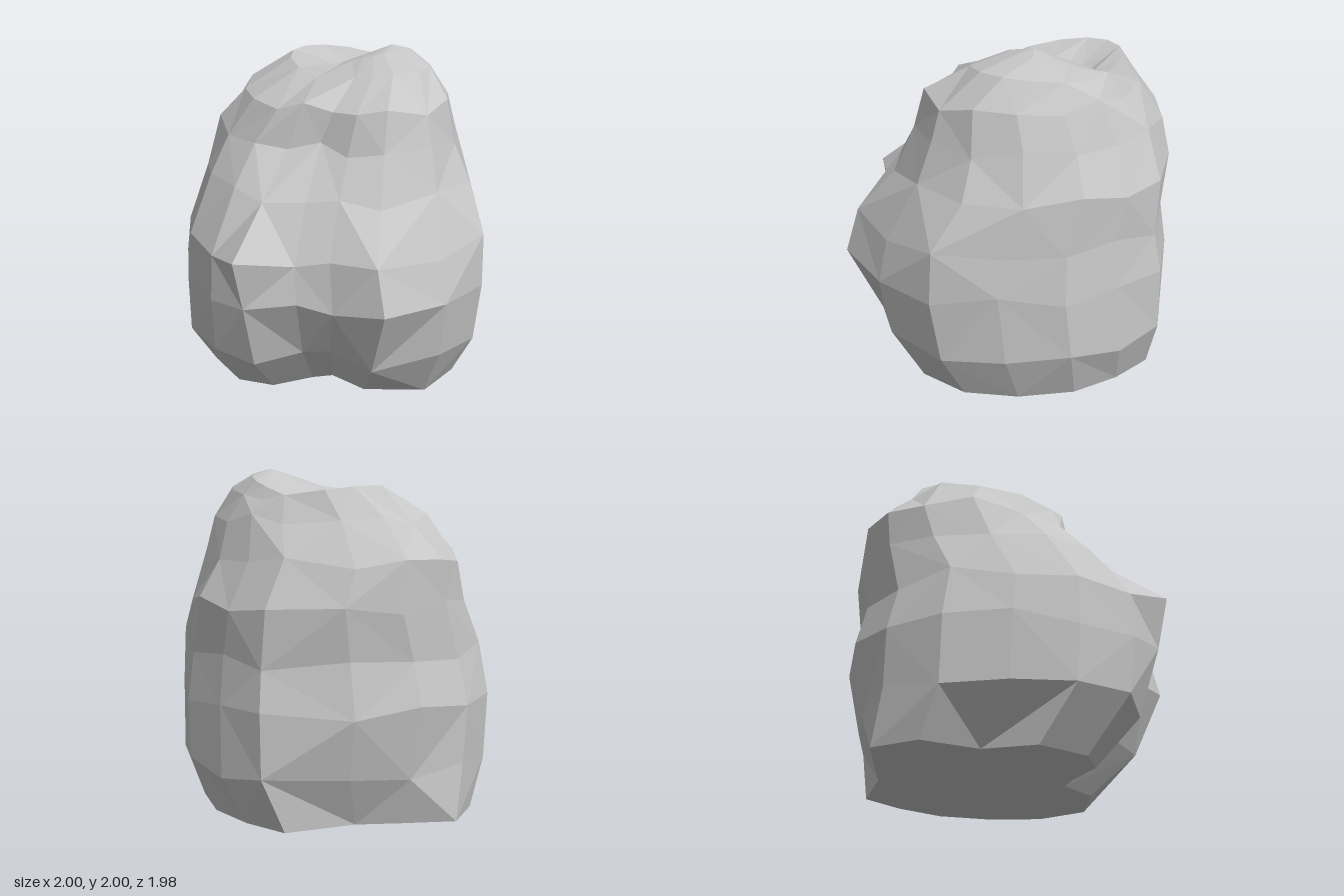
import * as THREE from 'three';

// Compass angles in degrees, from the front (+z) round towards +x
const ANGLES = [0, 15, 32, 46, 62, 88, 112, 135, 158, 178, 196, 225, 248, 270, 292, 315, 338];

// Oval cross-sections: height, centre x, centre z, half width, half depth
const RINGS = [
  [0, -.11, -.09, .89, .78],
  [.3, -.02, -.02, .97, .95],
  [.68, 0, 0, 1, .95],
  [.95, 0, 0, .93, .92],
  [1.25, -.06, -.12, .85, .82],
  [1.5, -.1, -.15, .81, .67],
  [1.72, -.03, -.16, .69, .56],
  [1.83, -.03, -.28, .5, .36],
  [1.9, 0, -.35, .25, .24],
];

// Bumps and dents: angle, height, angular spread, vertical spread, amount
const DENTS = [
  [42, 0, 24, .6, -.45],     // deep front cleft
  [38, 1, 14, .3, -.12],     // upper end of the cleft
  [15, .95, 10, .25, .14],   // front nose
  [28, 1.58, 17, .2, -.25],  // hollow above the nose
  [62, .6, 9, .4, .12],      // front corner beside the cleft
  [315, 0, 16, .2, -.22],    // undercut, front
  [322, .6, 20, .6, -.08],   // flattened front side
  [235, 0, 18, .3, -.35],    // undercut, rear
  [196, .7, 10, .7, .08],    // rear ridge
  [135, .7, 14, .7, -.06],   // flattened rear side
  [112, 1, 15, .25, .08],    // side ridge
];

// Corner k of ring j, with uneven heights so the facets look chipped
function corner(j, k) {
  const [height, cx, cz, rx, rz] = RINGS[j];
  const t = THREE.MathUtils.degToRad(ANGLES[k]);
  let f = 1;
  for (const [angle, level, spread, rise, amount] of DENTS) {
    const turn = (ANGLES[k] - angle + 540) % 360 - 180;
    f += amount * Math.exp(-((turn / spread) ** 2) - ((height - level) / rise) ** 2);
  }
  const x = cx + rx * f * Math.sin(t);
  let y = height;
  if (j === 7) y += .15 * Math.abs(x);          // rim of the crown
  else if (j === 8) y += .32 * x;               // crown dips to one side
  else if (j > 0) y += .03 * Math.sin(k * 2.4 + j * 1.9);
  return [x, y, cz + rz * f * Math.cos(t)];
}

function rockGeometry() {
  const n = ANGLES.length, last = RINGS.length - 1;
  const positions = [];
  const face = (...points) => points.forEach((p) => positions.push(...p));
  for (let k = 0; k < n; k++) {
    const m = (k + 1) % n;
    for (let j = 0; j < last; j++) {
      const a = corner(j, k), b = corner(j, m), c = corner(j + 1, m), d = corner(j + 1, k);
      // Alternate the diagonals for an irregular facet pattern
      if ((j + k) % 2) { face(a, b, c); face(a, c, d); }
      else { face(a, b, d); face(b, c, d); }
    }
    face(corner(last, k), corner(last, m), [.16, 2, -.37]);    // peak
    face([-.1, 0, -.1], corner(0, m), corner(0, k));           // flat underside
  }
  // Separate triangles give flat facets
  const geometry = new THREE.BufferGeometry();
  geometry.setAttribute('position', new THREE.Float32BufferAttribute(positions, 3));
  geometry.computeVertexNormals();
  return geometry;
}

export function createModel() {
  const group = new THREE.Group();
  group.name = 'boulder';
  const stone = new THREE.MeshStandardMaterial({ color: 0xc6c6c6 });
  stone.name = 'stone grey';
  const rock = new THREE.Mesh(rockGeometry(), stone);
  rock.name = 'rock';
  group.add(rock);
  return group;
}
